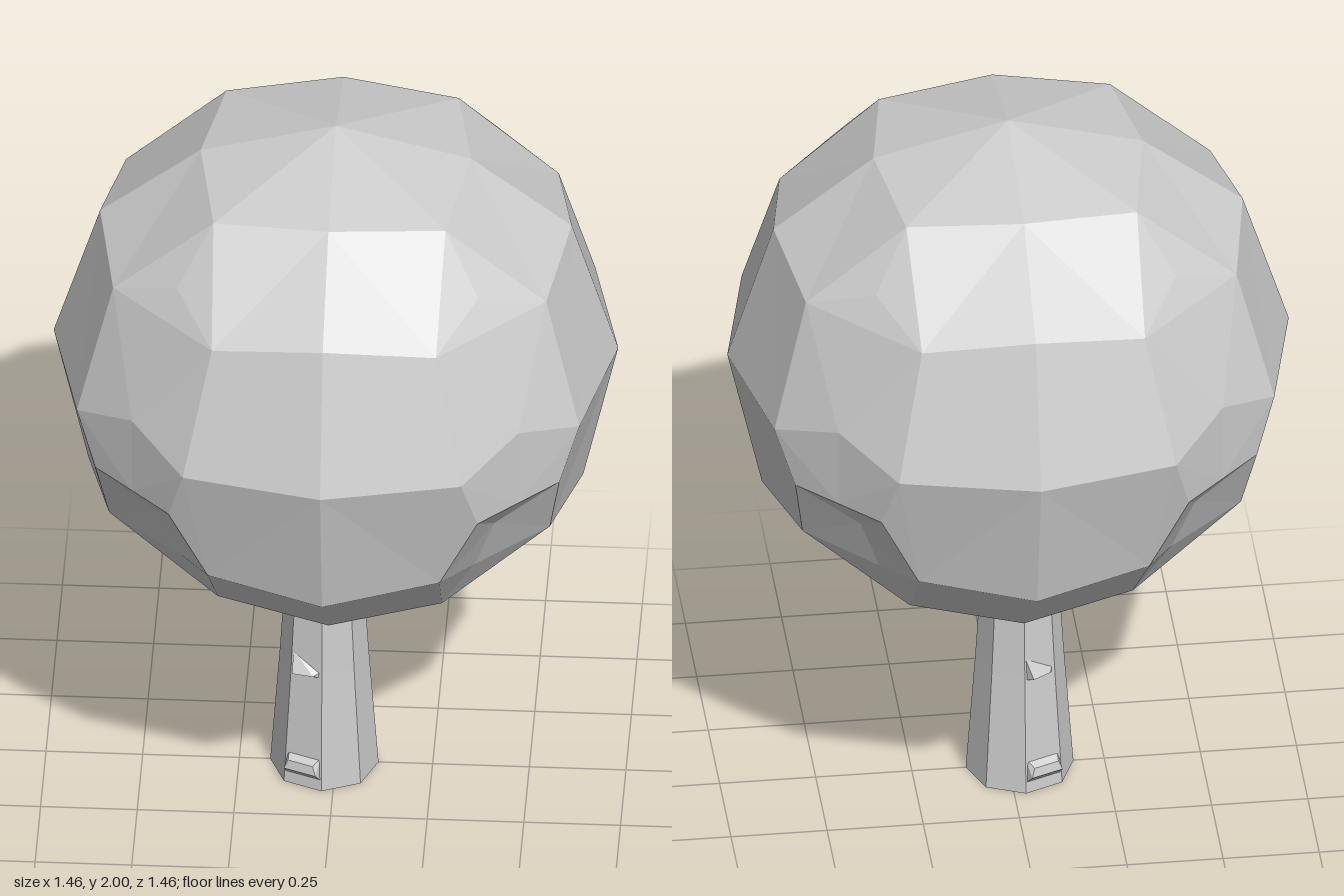
import * as THREE from 'three';
import { ConvexGeometry } from 'three/addons/geometries/ConvexGeometry.js';

// Points of one eighth of the crown (between the x axis and the x = z diagonal)
const P = {
  top: [0, 0.67, 0], tx: [0.35, 0.58, 0], tc: [0.3, 0.56, 0.3],
  ux: [0.61, 0.38, 0], uxc: [0.56, 0.34, 0.29], uc: [0.39, 0.415, 0.39], um: [0.425, 0.34, 0.425],
  ex: [0.73, 0, 0], exc: [0.65, 0, 0.36],
  bump: [0.5, 0.07, 0.5], lip: [0.5, -0.15, 0.5], lipSide: [0.6, -0.15, 0.4], under: [0.435, -0.26, 0.435],
  lx: [0.64, -0.4, 0], lxc: [0.57, -0.36, 0.3], lc: [0.38, -0.43, 0.38],
  bx: [0.35, -0.66, 0], bc: [0.29, -0.62, 0.29], bottom: [0, -0.7, 0],
};

// Facets of that eighth, each a fan
const FACETS = [
  'top tx tc', 'tx ux uxc tc', 'tc uxc uc', 'uc uxc um',
  'ux ex exc uxc', 'um uxc bump', 'uxc exc bump',
  'exc lipSide lip bump', 'lipSide under lip', 'exc lxc lipSide', 'lipSide lxc under',
  'ex lx lxc exc', 'under lxc lc', 'lc lxc bc', 'lx bx bc lxc', 'bottom bx bc',
];

function crownGeometry() {
  const pos = [];
  const n = new THREE.Vector3(), mid = new THREE.Vector3();
  const addTriangle = (a, b, c) => {
    n.crossVectors(b.clone().sub(a), c.clone().sub(a));
    mid.copy(a).add(b).add(c);
    // keep every corner order facing outward
    const order = n.dot(mid) > 0 ? [a, b, c] : [a, c, b];
    order.forEach(v => pos.push(v.x, v.y, v.z));
  };
  for (let quarter = 0; quarter < 4; quarter++) {
    for (const mirrored of [false, true]) {
      const place = ([x, y, z]) => {
        if (mirrored) [x, z] = [z, x];
        for (let i = 0; i < quarter; i++) [x, z] = [z, -x];
        return new THREE.Vector3(x, y, z);
      };
      for (const facet of FACETS) {
        const v = facet.split(' ').map(k => place(P[k]));
        for (let i = 1; i < v.length - 1; i++) addTriangle(v[0], v[i], v[i + 1]);
      }
    }
  }
  const g = new THREE.BufferGeometry();
  g.setAttribute('position', new THREE.Float32BufferAttribute(pos, 3));
  g.computeVertexNormals();
  return g;
}

// Wedge standing on a trunk face: outline points [across, height, outward]
function wedge(points) {
  return new ConvexGeometry(points.map(p => new THREE.Vector3(...p)));
}

export function createModel() {
  const grey = new THREE.MeshStandardMaterial({ color: 0xcccccc, flatShading: true });
  grey.name = 'plain grey';

  const model = new THREE.Group();
  model.name = 'tree';
  const add = (parent, name, geometry) => {
    const mesh = new THREE.Mesh(geometry, grey);
    mesh.name = name;
    parent.add(mesh);
    return mesh;
  };

  // Faceted round crown
  add(model, 'crown', crownGeometry()).position.y = 1.33;

  // Eight-sided trunk, flared at the foot
  const trunk = new THREE.Group();
  trunk.name = 'trunk';
  trunk.position.x = -0.03;
  model.add(trunk);
  const profile = [[0, 0], [0.14, 0], [0.115, 0.35], [0.103, 0.55], [0.1, 0.75]];
  add(trunk, 'trunkStem', new THREE.LatheGeometry(profile.map(p => new THREE.Vector2(...p)), 8));

  // Knots on the front and back faces of the right side
  const knotAngles = { front: -Math.PI / 8, back: -Math.PI * 7 / 8 };
  for (const [side, angle] of Object.entries(knotAngles)) {
    const knots = new THREE.Group();
    knots.name = side + 'Knots';
    knots.rotation.y = angle;
    trunk.add(knots);
    add(knots, side + 'LowerKnot', wedge([
      [-0.05, 0.02, 0.115], [0.05, 0.02, 0.115], [-0.045, 0.095, 0.115], [0.045, 0.095, 0.115],
      [-0.045, 0.055, 0.148], [0.045, 0.055, 0.148], [-0.035, 0.08, 0.143], [0.035, 0.08, 0.143],
    ]));
    add(knots, side + 'UpperKnot', wedge([
      [-0.04, 0.4, 0.1], [-0.04, 0.33, 0.1], [0.04, 0.335, 0.1], [0.04, 0.355, 0.1],
      [-0.03, 0.345, 0.13], [0.025, 0.345, 0.12],
    ]));
  }
  return model;
}
